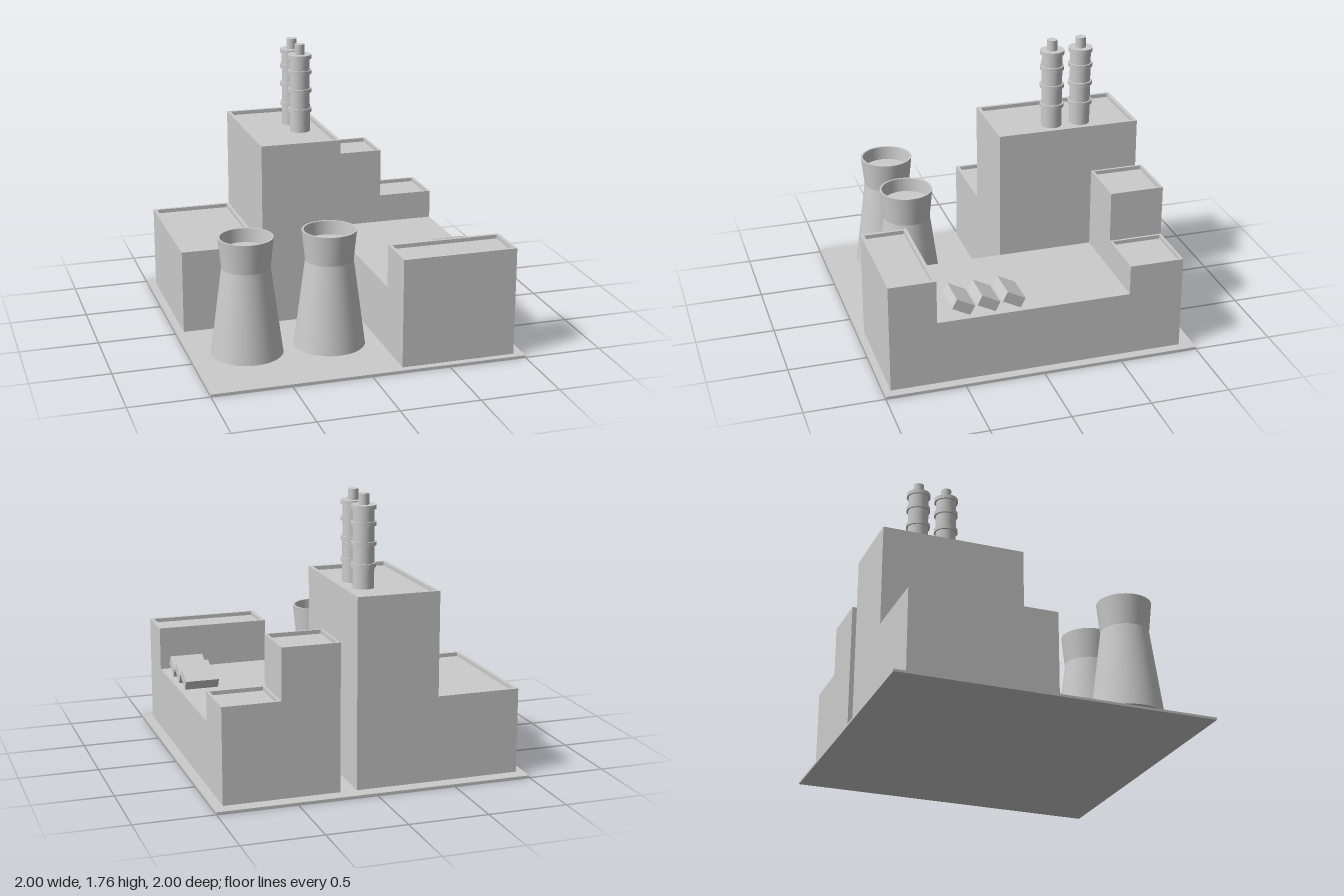
import * as THREE from 'three';

const material = new THREE.MeshStandardMaterial({ color: 0xcccccc });
const GROUND = 0.015;

function addMesh(parent, name, geometry, x = 0, y = 0, z = 0) {
  const mesh = new THREE.Mesh(geometry, material);
  mesh.name = name;
  mesh.position.set(x, y, z);
  parent.add(mesh);
  return mesh;
}

// Box given by its limits
function addBox(parent, name, x0, x1, y0, y1, z0, z1) {
  return addMesh(parent, name, new THREE.BoxGeometry(x1 - x0, y1 - y0, z1 - z0),
    (x0 + x1) / 2, (y0 + y1) / 2, (z0 + z1) / 2);
}

function rectPoints(w, d) {
  return [[-w, -d], [w, -d], [w, d], [-w, d]].map(([x, y]) => new THREE.Vector2(x / 2, y / 2));
}

// Block with a parapet around a sunken flat roof
function addBlock(parent, name, x0, x1, z0, z1, top, rim, sink = 0.025) {
  const block = new THREE.Group();
  block.name = name;
  parent.add(block);
  const w = x1 - x0, d = z1 - z0;
  const shape = new THREE.Shape(rectPoints(w, d));
  shape.holes.push(new THREE.Path(rectPoints(w - 2 * rim, d - 2 * rim).reverse()));
  const walls = new THREE.ExtrudeGeometry(shape, { depth: top - GROUND, bevelEnabled: false });
  walls.rotateX(-Math.PI / 2);
  addMesh(block, 'walls', walls, (x0 + x1) / 2, GROUND, (z0 + z1) / 2);
  addBox(block, 'roof', x0 + rim, x1 - rim, top - sink - 0.02, top - sink, z0 + rim, z1 - rim);
}

// Straight-sided turned part: each profile section gets its own crisp edges
function addTurned(parent, name, profile, segments) {
  for (let i = 0; i < profile.length - 1; i++) {
    const pair = [profile[i], profile[i + 1]].map(([r, y]) => new THREE.Vector2(r, y));
    addMesh(parent, name, new THREE.LatheGeometry(pair, segments));
  }
}

function addCoolingTower(parent, x, y, z) {
  const tower = new THREE.Group();
  tower.name = 'coolingTower';
  tower.position.set(x, y, z);
  parent.add(tower);
  // underside, flared shell, rim, inner wall, inner floor
  addTurned(tower, 'towerShell', [
    [0, 0], [0.223, 0], [0.15, 0.555], [0.17, 0.747], [0.157, 0.747], [0.15, 0.66], [0, 0.66],
  ], 48);
}

function addChimney(parent, x, z) {
  const chimney = new THREE.Group();
  chimney.name = 'chimney';
  chimney.position.set(x, 0, z);
  parent.add(chimney);
  const cylinder = (name, r, y0, y1) =>
    addMesh(chimney, name, new THREE.CylinderGeometry(r, r, y1 - y0, 32), 0, (y0 + y1) / 2, 0);
  cylinder('stack', 0.066, 1.18, 1.68);
  for (const y of [1.328, 1.46, 1.582, 1.684]) cylinder('band', 0.077, y - 0.013, y + 0.013);
  cylinder('outlet', 0.033, 1.68, 1.765);
}

export function createModel() {
  const model = new THREE.Group();
  model.name = 'powerPlant';

  addBox(model, 'basePlate', -1, 1, 0, GROUND, -1, 1);

  // Main hall: low wing and tall boiler house
  addBlock(model, 'lowHall', -0.95, -0.42, -0.91, 0.015, 0.555, 0.022);
  addBlock(model, 'boilerHouse', -0.42, 0.103, -0.91, 0.015, 1.21, 0.022);

  // Side complex: front block, long flat hall, two stepped rear blocks
  addBlock(model, 'frontBlock', 0.207, 0.938, 0.66, 0.955, 0.71, 0.022);
  addBox(model, 'flatHall', 0.207, 0.938, GROUND, 0.43, -0.565, 0.66);
  addBlock(model, 'rearTallBlock', 0.207, 0.573, -0.91, -0.565, 0.945, 0.016);
  addBlock(model, 'rearLowBlock', 0.573, 0.938, -0.91, -0.565, 0.62, 0.016);

  // Tilted skylights on the flat hall
  for (const z of [0.168, 0.327, 0.485]) {
    const skylight = addMesh(model, 'skylight', new THREE.BoxGeometry(0.217, 0.067, 0.127), 0.793, 0.49, z);
    skylight.rotation.x = -0.48;
  }

  addCoolingTower(model, -0.672, 0.075, 0.578);
  addCoolingTower(model, -0.143, 0.07, 0.572);

  for (const z of [-0.57, -0.38]) addChimney(model, -0.055, z);

  return model;
}
